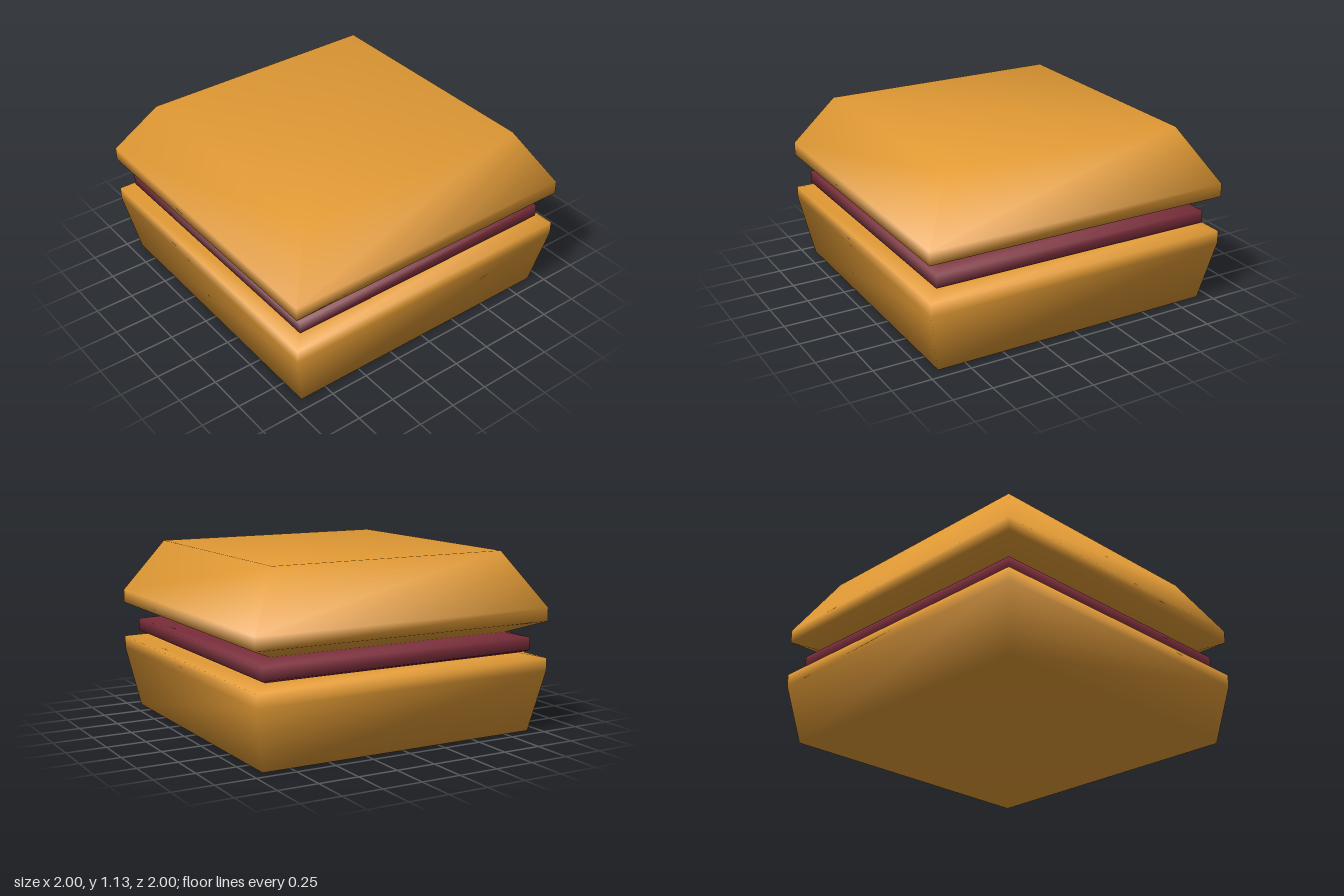
import * as THREE from 'three';

// Closed square solid from [halfWidth, y] levels, bottom to top; shared corners keep it smooth
function squareLoft(levels) {
  const corners = [[1, 1], [1, -1], [-1, -1], [-1, 1]];
  const positions = [];
  const index = [];
  for (const [half, y] of levels) {
    for (const [x, z] of corners) positions.push(x * half, y, z * half);
  }
  for (let level = 0; level < levels.length - 1; level++) {
    for (let i = 0; i < 4; i++) {
      const a = level * 4 + i;
      const b = level * 4 + (i + 1) % 4;
      index.push(a, b, b + 4, a, b + 4, a + 4);
    }
  }
  const top = (levels.length - 1) * 4;
  index.push(0, 2, 1, 0, 3, 2, top, top + 1, top + 2, top, top + 2, top + 3);
  const geometry = new THREE.BufferGeometry();
  geometry.setAttribute('position', new THREE.Float32BufferAttribute(positions, 3));
  geometry.setIndex(index);
  geometry.computeVertexNormals();
  return geometry;
}

export function createModel() {
  const group = new THREE.Group();
  group.name = 'sandwich';
  const bread = new THREE.MeshStandardMaterial({ color: 0xe39b35 });
  const meat = new THREE.MeshStandardMaterial({ color: 0x7a2d3a });

  const addLayer = (name, material, levels) => {
    const mesh = new THREE.Mesh(squareLoft(levels), material);
    mesh.name = name;
    group.add(mesh);
  };

  // Bottom bread, widening upward to a bevelled rim
  addLayer('bottomBread', bread, [[0.925, 0], [1, 0.39], [1, 0.47], [0.88, 0.495]]);
  // Thin filling with bevelled edges
  addLayer('filling', meat, [[0.88, 0.495], [0.925, 0.515], [0.925, 0.595], [0.8, 0.622]]);
  // Top bread, undercut below and sloping in to a flat top
  addLayer('topBread', bread, [[0.82, 0.622], [1, 0.7], [1, 0.785], [0.788, 1.127]]);

  return group;
}
